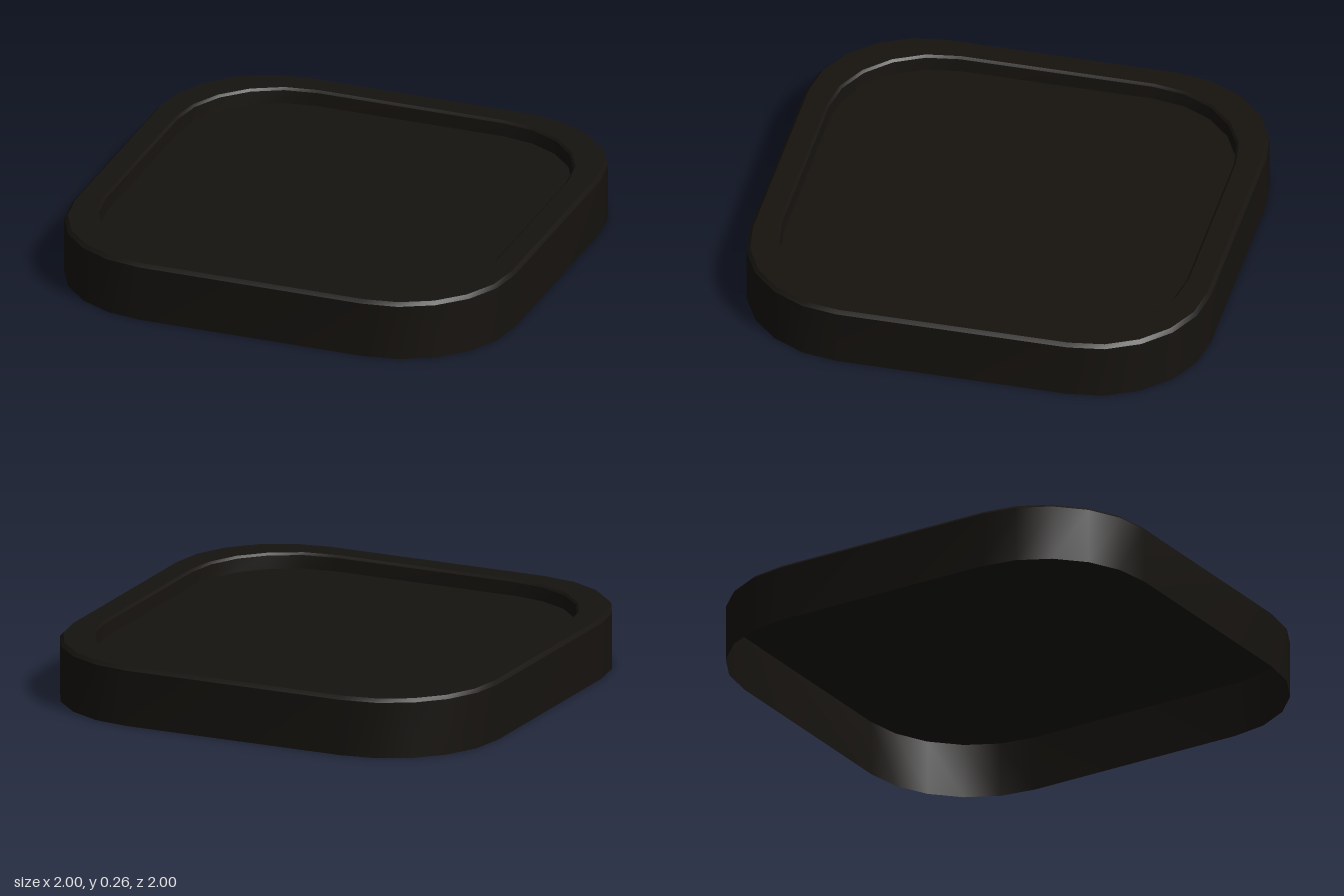
import * as THREE from 'three';
import { toCreasedNormals } from 'three/addons/utils/BufferGeometryUtils.js';

const SEGMENTS = 5; // facets per rounded corner

// Rounded-square outline: half width, corner radius, height
function outline(half, radius, y) {
  const points = [];
  for (let corner = 0; corner < 4; corner++) {
    const mid = (corner + 0.5) * Math.PI / 2;
    const cx = Math.sign(Math.cos(mid)) * (half - radius);
    const cz = Math.sign(Math.sin(mid)) * (half - radius);
    for (let i = 0; i <= SEGMENTS; i++) {
      const a = (corner + i / SEGMENTS) * Math.PI / 2;
      points.push([cx + radius * Math.cos(a), y, cz + radius * Math.sin(a)]);
    }
  }
  return points;
}

// Skin consecutive outlines, optionally closing the last with a flat cap
function loft(sections, capped) {
  const rings = sections.map((s) => outline(...s));
  const n = rings[0].length;
  const positions = rings.flat(2);
  const index = [];
  for (let r = 0; r < rings.length - 1; r++) {
    for (let k = 0; k < n; k++) {
      const a = r * n + k, b = r * n + (k + 1) % n;
      index.push(a, a + n, b, b, a + n, b + n);
    }
  }
  if (capped) {
    const centre = rings.length * n, last = centre - n;
    positions.push(0, sections[sections.length - 1][2], 0);
    for (let k = 0; k < n; k++) index.push(last + k, centre, last + (k + 1) % n);
  }
  const geometry = new THREE.BufferGeometry();
  geometry.setAttribute('position', new THREE.Float32BufferAttribute(positions, 3));
  geometry.setIndex(index);
  return toCreasedNormals(geometry, 0.5);
}

export function createModel() {
  const group = new THREE.Group();
  group.name = 'tray';
  const material = new THREE.MeshStandardMaterial({ color: 0x16130f, side: THREE.DoubleSide });

  const add = (name, sections, capped = false) => {
    const mesh = new THREE.Mesh(loft(sections, capped), material);
    mesh.name = name;
    group.add(mesh);
  };

  // Outer wall, open underneath, with a small bevel at the top
  add('outerWall', [[1, 0.5, 0], [1, 0.5, 0.243], [0.985, 0.485, 0.258]]);
  // Flat rim around the recess
  add('rim', [[0.985, 0.485, 0.258], [0.887, 0.467, 0.258]]);
  // Shallow recess with a bevelled lip and a flat floor
  add('recess', [[0.887, 0.467, 0.258], [0.877, 0.457, 0.248], [0.872, 0.452, 0.19]], true);

  return group;
}
